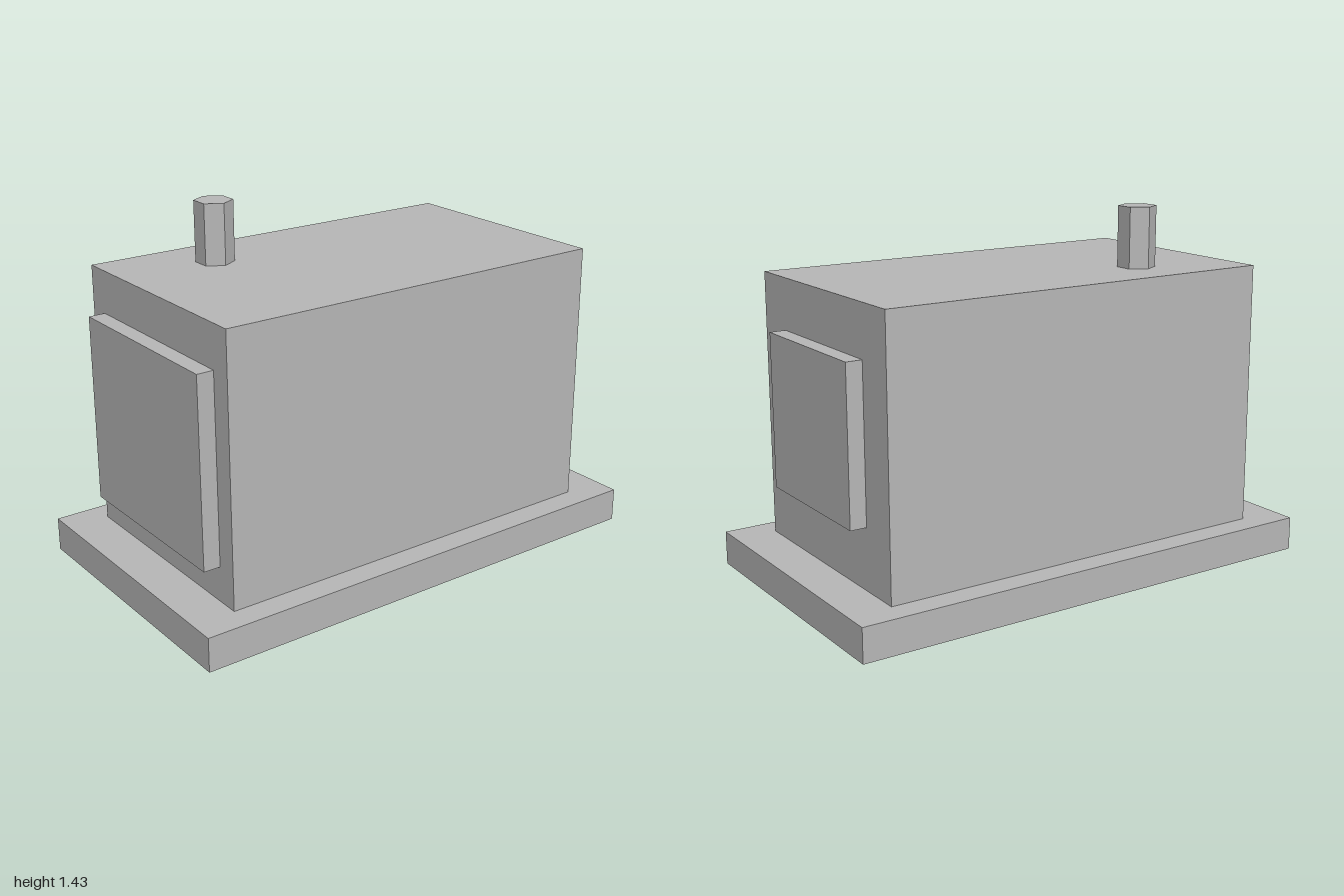
import * as THREE from 'three';

export function createModel() {
  const model = new THREE.Group();
  model.name = 'machineHousing';

  const grey = new THREE.MeshStandardMaterial({ color: 0xb8b8b8 });
  grey.name = 'plain grey';

  function add(name, geometry, x, y, z) {
    const mesh = new THREE.Mesh(geometry, grey);
    mesh.name = name;
    mesh.position.set(x, y, z);
    model.add(mesh);
  }

  // Box given by its x and y ranges, centred on z = 0
  function addBox(name, x0, x1, y0, y1, depth) {
    add(name, new THREE.BoxGeometry(x1 - x0, y1 - y0, depth), (x0 + x1) / 2, (y0 + y1) / 2, 0);
  }

  // Base slab and main block
  addBox('base', -1, 1, 0, 0.135, 1.15);
  addBox('body', -0.83, 0.83, 0.135, 1.19, 0.948);

  // Raised end panels: the one on -x is larger
  addBox('rightPanel', -0.897, -0.83, 0.275, 1.02, 0.776);
  addBox('leftPanel', 0.83, 0.895, 0.377, 0.987, 0.61);

  // Six-sided chimney towards the back, with flat faces
  const chimney = new THREE.CylinderGeometry(0.075, 0.075, 0.24, 6).toNonIndexed();
  chimney.computeVertexNormals();
  add('chimney', chimney, -0.427, 1.31, -0.238);

  return model;
}
